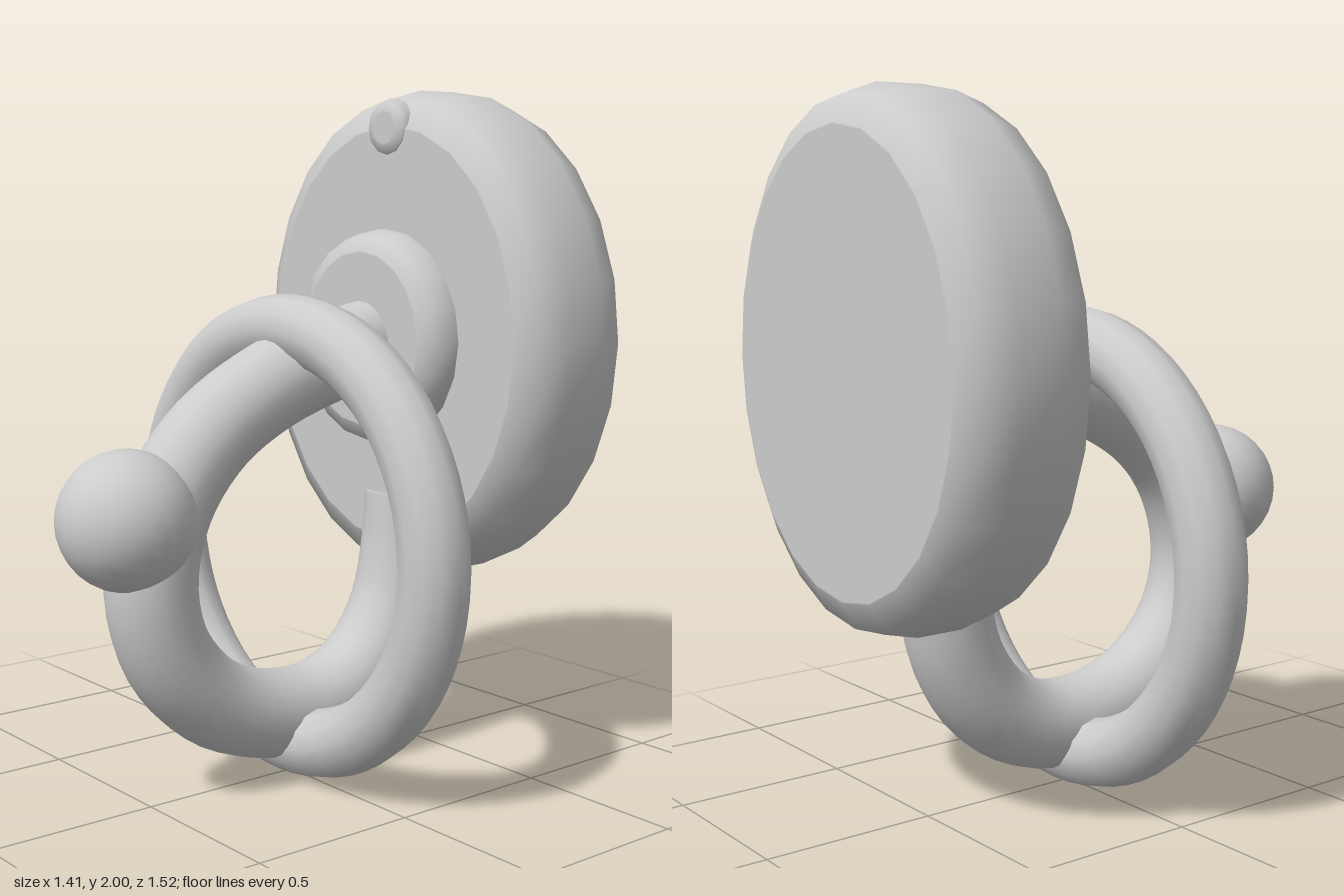
import * as THREE from 'three';

const metal = new THREE.MeshStandardMaterial({ color: 0xcccccc });
metal.name = 'pale grey metal';

// Solid of revolution along z with rounded rims; bevelR is radial, bevelZ is along z
function roundedDisc(rx, ry, back, front, bevelR, bevelZ, sides) {
  const points = [new THREE.Vector2(0, back), new THREE.Vector2(rx - bevelR - 0.004, back)];
  const steps = 2;
  for (let i = 0; i <= steps; i++) {
    const a = (i / steps) * Math.PI / 2;
    points.push(new THREE.Vector2(rx - bevelR + bevelR * Math.sin(a), back + bevelZ * (1 - Math.cos(a))));
  }
  for (let i = steps; i >= 0; i--) {
    const a = (i / steps) * Math.PI / 2;
    points.push(new THREE.Vector2(rx - bevelR + bevelR * Math.sin(a), front - bevelZ * (1 - Math.cos(a))));
  }
  points.push(new THREE.Vector2(rx - bevelR - 0.004, front), new THREE.Vector2(0, front));
  const geometry = new THREE.LatheGeometry(points, sides);
  geometry.rotateX(Math.PI / 2);
  geometry.scale(1, ry / rx, 1);
  return geometry;
}

export function createModel() {
  const group = new THREE.Group();
  group.name = 'hookWithRing';

  const add = (name, geometry, x = 0, y = 0, z = 0) => {
    const mesh = new THREE.Mesh(geometry, metal);
    mesh.name = name;
    mesh.position.set(x, y, z);
    group.add(mesh);
    return mesh;
  };

  // Oval wall plate, its raised boss and the screw head near the top
  add('wallPlate', roundedDisc(0.62, 0.73, -0.76, -0.362, 0.09, 0.13, 24), 0, 1.27, 0);
  add('boss', roundedDisc(0.312, 0.32, -0.46, -0.258, 0.06, 0.075, 20), 0, 1.27, 0);
  add('screwHead', roundedDisc(0.085, 0.085, -0.46, -0.347, 0.035, 0.025, 12), 0, 1.887, 0);

  // Curved hook, given as (y, z) points along its centre line
  const path = [
    [1.27, -0.36], [1.21, -0.1], [1.14, 0.1], [1.02, 0.3], [0.84, 0.44], [0.62, 0.49],
    [0.42, 0.435], [0.26, 0.28], [0.185, 0.06], [0.195, -0.13], [0.285, -0.29],
    [0.44, -0.395], [0.62, -0.44], [0.785, -0.455],
  ].map(([y, z]) => new THREE.Vector3(0, y, z));
  const curve = new THREE.CatmullRomCurve3(path, false, 'centripetal');
  add('hook', new THREE.TubeGeometry(curve, 56, 0.13, 20, false));

  // Flat end of the hook
  const cap = add('hookEnd', new THREE.CircleGeometry(0.13, 20));
  cap.position.copy(curve.getPointAt(1));
  cap.quaternion.setFromUnitVectors(new THREE.Vector3(0, 0, 1), curve.getTangentAt(1));

  // Ball on the front of the hook
  add('ball', new THREE.SphereGeometry(0.195, 24, 16), 0, 0.82, 0.565);

  // Ring hanging around the hook
  add('ring', new THREE.TorusGeometry(0.605, 0.1, 12, 64), 0, 0.705, 0);

  return group;
}
